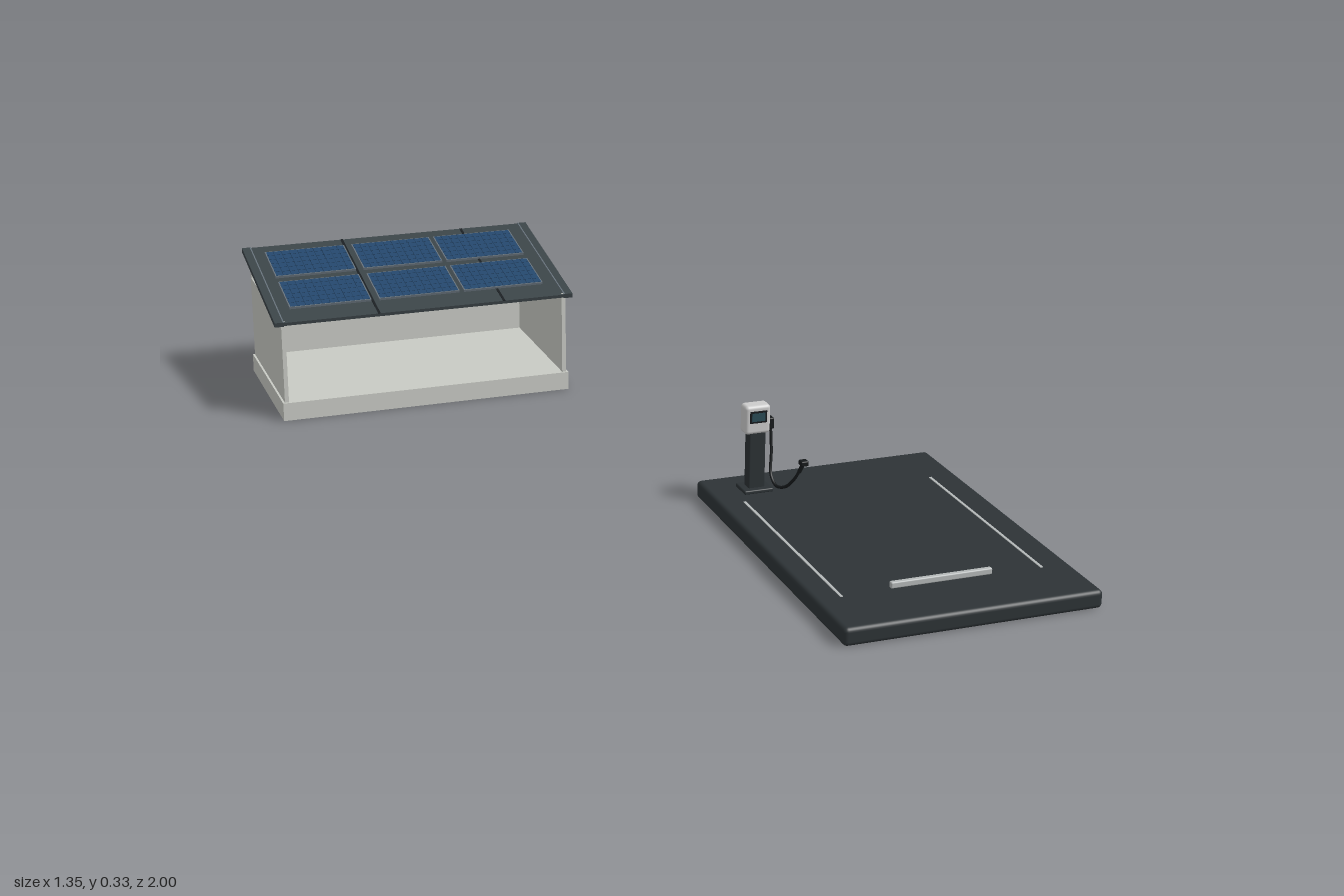
import * as THREE from 'three';
import { RoundedBoxGeometry } from 'three/addons/geometries/RoundedBoxGeometry.js';

const mat = (color) => new THREE.MeshStandardMaterial({ color });
const wallMat = mat(0xc8cac4), roofMat = mat(0x3b4448), seamMat = mat(0x1b2023),
  frameMat = mat(0x66717a), cellMat = mat(0x24476c), cellLineMat = mat(0x1a3450),
  padMat = mat(0x2d3336), postMat = mat(0x2b3134), paintMat = mat(0xb4b8b8),
  headMat = mat(0xd4d6d4), blackMat = mat(0x16191b), screenMat = mat(0x2a4a55);

function add(parent, name, geometry, material, x, y, z) {
  const mesh = new THREE.Mesh(geometry, material);
  mesh.name = name;
  mesh.position.set(x, y, z);
  parent.add(mesh);
  return mesh;
}

// Box given by its limits on each axis; a radius rounds the edges
function box(parent, name, material, [x0, x1], [y0, y1], [z0, z1], radius = 0) {
  const s = [x1 - x0, y1 - y0, z1 - z0];
  const geometry = radius ? new RoundedBoxGeometry(...s, 3, radius) : new THREE.BoxGeometry(...s);
  return add(parent, name, geometry, material, (x0 + x1) / 2, (y0 + y1) / 2, (z0 + z1) / 2);
}

function group(parent, name) {
  const g = new THREE.Group();
  g.name = name;
  parent.add(g);
  return g;
}

// One solar panel, lying flat: frame, glass and cell lines
function solarPanel(parent, x, z, w, d) {
  const p = group(parent, 'solarPanel');
  p.position.set(x, 0, z);
  const hw = w / 2, hd = d / 2;
  box(p, 'panelFrame', frameMat, [-hw, hw], [0.004, 0.0095], [-hd, hd]);
  box(p, 'panelGlass', cellMat, [-hw + 0.003, hw - 0.003], [0.005, 0.0102], [-hd + 0.003, hd - 0.003]);
  for (let i = 1; i < 10; i++) {
    const lx = -hw + (w * i) / 10;
    box(p, 'cellLine', cellLineMat, [lx - 0.0005, lx + 0.0005], [0.01, 0.0105], [-hd + 0.003, hd - 0.003]);
  }
  for (let i = 1; i < 6; i++) {
    const lz = -hd + (d * i) / 6;
    box(p, 'cellLine', cellLineMat, [-hw + 0.003, hw - 0.003], [0.01, 0.0105], [lz - 0.0005, lz + 0.0005]);
  }
}

function buildShelter(model) {
  const shelter = group(model, 'shelter');
  // Plinth with three walls; the front is open
  box(shelter, 'plinth', wallMat, [-0.665, 0.058], [0, 0.045], [-0.988, -0.595]);
  box(shelter, 'backWall', wallMat, [-0.66, 0.053], [0.045, 0.285], [-0.985, -0.975]);
  for (const x of [-0.66, 0.043])
    box(shelter, 'sideWall', wallMat, [x, x + 0.01], [0.045, 0.25], [-0.975, -0.6]);

  // Sloping roof, built flat and then tilted down to the front
  const roof = group(shelter, 'roof');
  roof.position.set(-0.303, 0.282, -0.798);
  roof.rotation.x = 0.184;
  const half = 0.205;
  box(roof, 'roofSheet', roofMat, [-0.373, 0.373], [-0.004, 0.004], [-half, half]);
  for (const s of [-1, 1]) {
    box(roof, 'edgeTrim', roofMat, [s * 0.362 - 0.011, s * 0.362 + 0.011], [-0.006, 0.0055], [-half, half]);
    box(roof, 'trimStrip', frameMat, [s * 0.352 - 0.0015, s * 0.352 + 0.0015], [0.003, 0.006], [-half, half]);
  }
  for (const x of [-0.117, 0.197])
    box(roof, 'roofSeam', seamMat, [x - 0.003, x + 0.003], [0.003, 0.005], [-half, half]);
  for (const x of [-0.222, 0, 0.214])
    for (const z of [-0.095, 0.071]) solarPanel(roof, x, z, 0.203, 0.137);
}

function buildParkingPad(model) {
  const pad = group(model, 'parkingPad');
  box(pad, 'padSlab', padMat, [0.11, 0.675], [0, 0.04], [0.18, 1], 0.01);
  for (const x of [0.165, 0.61])
    box(pad, 'bayLine', paintMat, [x - 0.003, x + 0.003], [0.038, 0.0415], [0.335, 0.86]);
  box(pad, 'wheelStop', paintMat, [0.275, 0.5], [0.039, 0.053], [0.844, 0.856], 0.003);
}

function buildCharger(model) {
  const charger = group(model, 'charger');
  box(charger, 'footPlate', postMat, [0.18, 0.248], [0.039, 0.048], [0.242, 0.298], 0.003);
  box(charger, 'post', postMat, [0.195, 0.233], [0.045, 0.18], [0.255, 0.283], 0.003);
  box(charger, 'head', headMat, [0.184, 0.243], [0.174, 0.24], [0.25, 0.286], 0.008);
  box(charger, 'displayBezel', blackMat, [0.194, 0.233], [0.201, 0.228], [0.28, 0.288]);
  box(charger, 'display', screenMat, [0.198, 0.229], [0.205, 0.224], [0.285, 0.2887]);
  box(charger, 'holster', blackMat, [0.242, 0.254], [0.18, 0.206], [0.26, 0.28], 0.003);

  // Hanging cable ending in a plug
  const path = new THREE.CatmullRomCurve3([
    [0.249, 0.185, 0.27], [0.248, 0.13, 0.28], [0.242, 0.08, 0.295], [0.245, 0.062, 0.32],
    [0.256, 0.069, 0.347], [0.27, 0.094, 0.365], [0.28, 0.122, 0.374],
  ].map((p) => new THREE.Vector3(...p)));
  add(charger, 'cable', new THREE.TubeGeometry(path, 40, 0.0035, 8), blackMat, 0, 0, 0);
  const grip = add(charger, 'plugGrip', new THREE.CylinderGeometry(0.005, 0.0045, 0.026, 10), blackMat, 0.28, 0.12, 0.374);
  grip.rotation.set(0.3, 0, -0.3);
  box(charger, 'plugHead', blackMat, [0.275, 0.293], [0.126, 0.138], [0.368, 0.386], 0.003);
}

export function createModel() {
  const model = new THREE.Group();
  model.name = 'solarChargingStation';
  buildShelter(model);
  buildParkingPad(model);
  buildCharger(model);
  return model;
}
